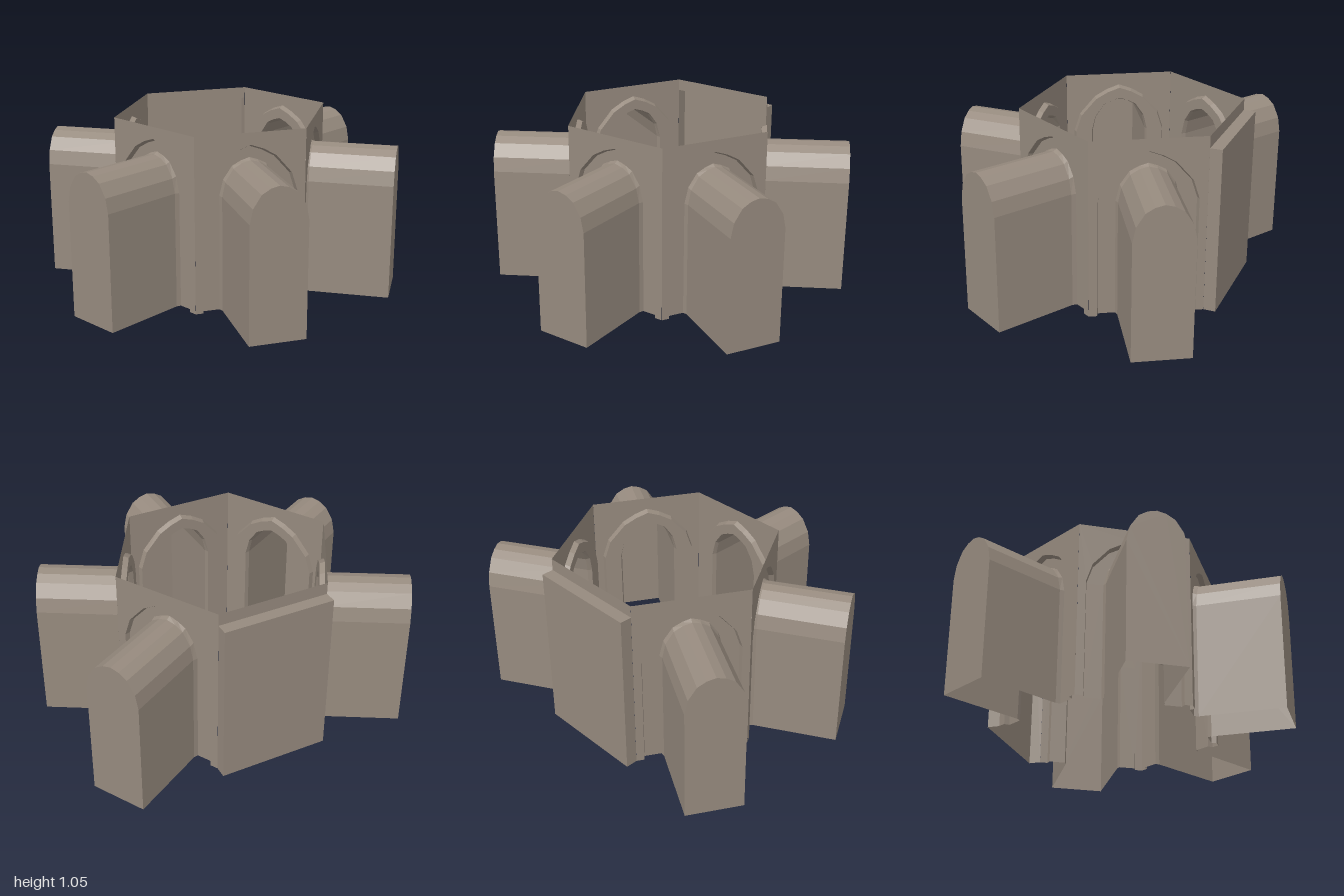
import * as THREE from 'three';

const stone = new THREE.MeshStandardMaterial({ color: 0x968a7e, side: THREE.DoubleSide, flatShading: true });
stone.name = 'stone';

const SIDE = 0.326, APOTHEM = 0.565, HEIGHT = 1.05, CENTRE_Z = -0.19;

// Right half of each arch, from the springing to the apex
const largeArch = [[0.28, 0.69], [0.245, 0.8], [0.15, 0.91], [0.075, 0.953], [0, 0.98]];
const plateArch = [[0.272, 0.69], [0.238, 0.795], [0.145, 0.9], [0.072, 0.941], [0, 0.967]];
const smallArch = [[0.175, 0.69], [0.152, 0.785], [0.1, 0.86], [0.05, 0.886], [0, 0.902]];
const vaultArch = [[0.165, 0.69], [0.147, 0.775], [0.1, 0.848], [0.05, 0.878], [0, 0.89]];

// Full outline from right foot over the apex to left foot
function outline(half) {
  const right = [[half[0][0], 0], ...half];
  const left = right.slice(0, -1).reverse().map(([x, y]) => [-x, y]);
  return [...right, ...left];
}

// Surface joining two outlines with equal point counts
function strip(name, a, za, b, zb) {
  const pos = [];
  for (let i = 0; i < a.length - 1; i++) {
    const p = [...a[i], za], q = [...a[i + 1], za], r = [...b[i + 1], zb], s = [...b[i], zb];
    pos.push(...p, ...s, ...q, ...q, ...s, ...r);
  }
  const geo = new THREE.BufferGeometry();
  geo.setAttribute('position', new THREE.Float32BufferAttribute(pos, 3));
  geo.computeVertexNormals();
  return mesh(name, geo);
}

function mesh(name, geo) {
  const m = new THREE.Mesh(geo, stone);
  m.name = name;
  return m;
}

// Flat face bounded by points, at depth z
function face(name, points, z) {
  const geo = new THREE.ShapeGeometry(new THREE.Shape(points.map(([x, y]) => new THREE.Vector2(x, y))));
  geo.translate(0, 0, z);
  return mesh(name, geo);
}

// One wall with stepped arch frame and vaulted alcove
function alcoveSide() {
  const g = new THREE.Group();
  const large = outline(largeArch), plate = outline(plateArch);
  const small = outline(smallArch), vault = outline(vaultArch);
  const end = 1.053, recess = APOTHEM - 0.03, lip = APOTHEM - 0.005;
  g.add(
    face('wall', [[-SIDE, 0], [-SIDE, HEIGHT], [SIDE, HEIGHT], [SIDE, 0], ...large], APOTHEM),
    strip('archReveal', large, APOTHEM, plate, recess),
    strip('archPlate', plate, recess, small, recess),
    strip('archLip', small, recess, vault, lip),
    strip('alcoveVault', vault, lip, vault, end),
    face('alcoveEnd', vault, end)
  );
  return g;
}

// Plain wall with a full-width rectangular recess
function recessedSide() {
  const g = new THREE.Group();
  const top = 0.98, back = APOTHEM + 0.07;
  const frame = [[SIDE, 0], [SIDE, top], [-SIDE, top], [-SIDE, 0]];
  g.add(
    face('lintel', [[-SIDE, top], [SIDE, top], [SIDE, HEIGHT], [-SIDE, HEIGHT]], APOTHEM),
    strip('recessSides', frame, APOTHEM, frame, back),
    face('recessPanel', frame, back)
  );
  return g;
}

export function createModel() {
  const model = new THREE.Group();
  model.name = 'hexagonalHall';
  for (let i = 0; i < 6; i++) {
    const side = i === 3 ? recessedSide() : alcoveSide();
    side.name = i === 3 ? 'backSide' : `alcoveSide${i}`;
    side.rotation.y = (i * Math.PI) / 3;
    side.position.z = CENTRE_Z;
    model.add(side);
  }
  return model;
}
